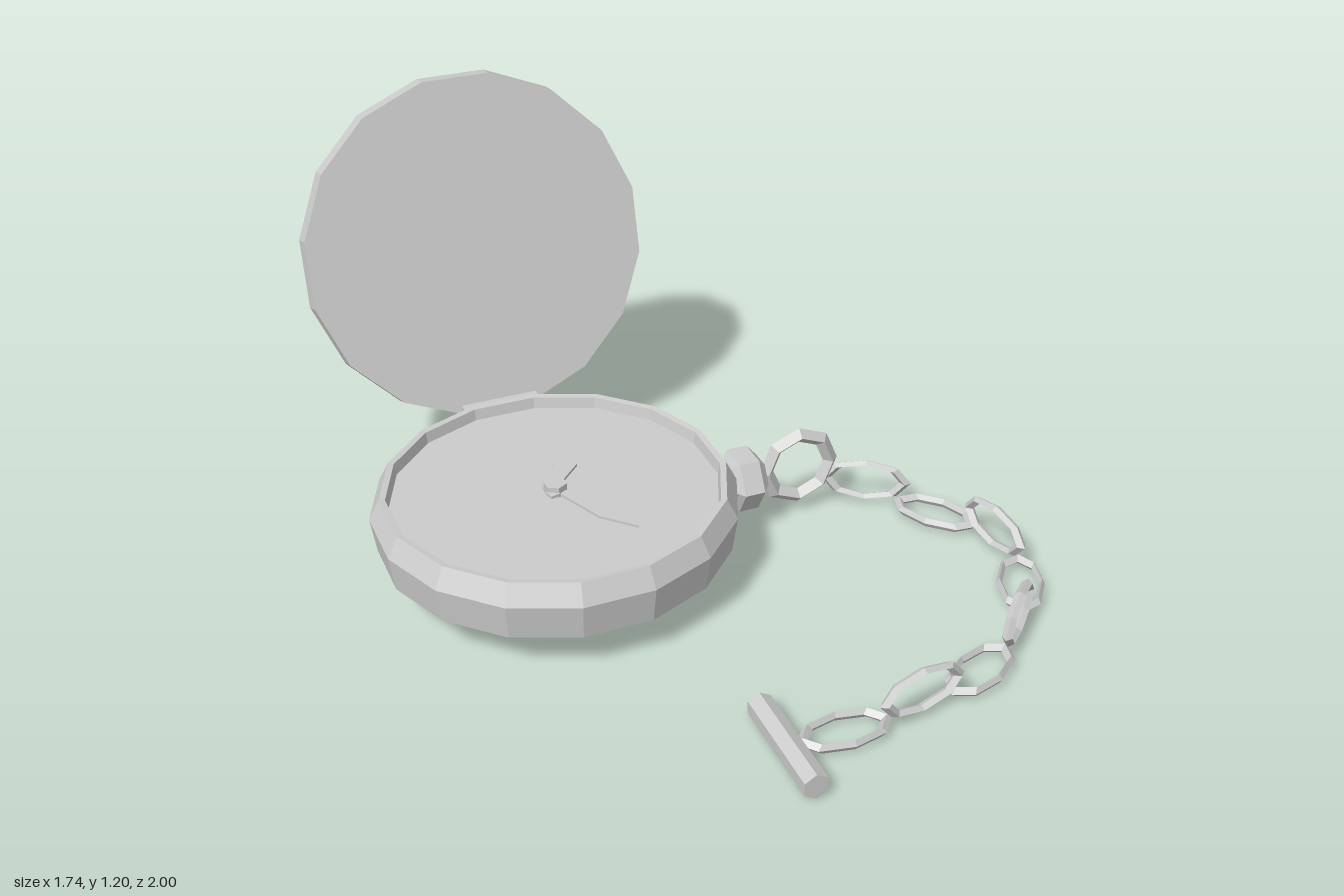
import * as THREE from 'three';

const SIDES = 16;
const K = 1 / Math.cos(Math.PI / SIDES); // flat-to-flat radius -> corner radius

export function createModel() {
  const model = new THREE.Group();
  model.name = 'pocketWatch';
  const silver = new THREE.MeshStandardMaterial({ color: 0xcccccc, flatShading: true });
  silver.name = 'silver';

  const add = (name, geo, parent = model, pos = [0, 0, 0]) => {
    const m = new THREE.Mesh(geo, silver);
    m.name = name;
    m.position.set(...pos);
    parent.add(m);
    return m;
  };
  const lathe = (pts, n = SIDES) =>
    new THREE.LatheGeometry(pts.map(([r, y]) => new THREE.Vector2(r * K, y)), n)
      .rotateY(Math.PI / n);
  // Flat outline extruded upward along y
  const plate = (pts, depth) =>
    new THREE.ExtrudeGeometry(new THREE.Shape(pts.map(p => new THREE.Vector2(...p))),
      { depth, bevelEnabled: false }).rotateX(-Math.PI / 2);

  // Case with raised rim and sunken dial
  const watch = new THREE.Group();
  watch.name = 'watchBody';
  watch.position.set(-0.365, 0, -0.15);
  model.add(watch);
  add('case', lathe([[0, 0.01], [0.36, 0.04], [0.49, 0.125], [0.505, 0.23],
    [0.475, 0.29], [0.458, 0.288], [0.452, 0.255]]), watch);
  add('dial', lathe([[0.455, 0.255], [0, 0.255]]), watch);

  // Hands and centre pin
  const hand = (name, length, width, dx, dz, y) => {
    const h = add(name, plate([[-0.05, 0], [-0.03, -0.02], [0.03, -0.012],
      [length * 0.62, -width], [length, 0], [length * 0.62, width],
      [0.03, 0.012], [-0.03, 0.02]], 0.008), watch, [0, y, 0]);
    h.rotation.y = Math.atan2(-dz, dx);
  };
  hand('minuteHand', 0.3, 0.03, 0.15, 0.265, 0.258);
  hand('hourHand', 0.205, 0.036, 0.105, -0.175, 0.262);
  add('handPin', new THREE.CylinderGeometry(0.033, 0.033, 0.03, 6), watch, [0, 0.27, 0]);

  // Open lid, leaning back
  const lid = new THREE.Group();
  lid.name = 'lid';
  lid.position.set(-0.365, 0.72, -0.79);
  lid.rotation.x = -THREE.MathUtils.degToRad(105);
  model.add(lid);
  add('lidShell', lathe([[0, 0], [0.495, 0], [0.5, 0.052], [0.4, 0.11], [0, 0.13]]), lid);
  const star = [];
  for (let i = 0; i < 8; i++) {
    const r = i % 2 ? 0.065 : 0.21, a = i * Math.PI / 4;
    star.push([r * Math.cos(a), r * Math.sin(a)]);
  }
  add('lidStar', plate(star, 0.025), lid, [0, 0.118, 0]);

  // Hinge
  add('hinge', new THREE.CylinderGeometry(0.032, 0.032, 0.23, 6).rotateZ(Math.PI / 2),
    model, [-0.365, 0.25, -0.645]);

  // Crown on the side of the case
  const crown = new THREE.LatheGeometry([[0, 0], [0.07, 0], [0.07, 0.04], [0.092, 0.055],
    [0.092, 0.115], [0.06, 0.14], [0, 0.14]].map(p => new THREE.Vector2(...p)), 6)
    .rotateZ(-Math.PI / 2);
  add('crown', crown, model, [0.12, 0.155, -0.15]);

  // Bow ring
  add('bowRing', new THREE.TorusGeometry(0.103, 0.023, 4, 8), model, [0.382, 0.158, -0.15]);

  // Chain links, alternately upright and lying flat: x, z, direction dx, dz
  const links = [
    [0.58, -0.1, 0.22, 0.14], [0.73, 0.06, 0.15, 0.22], [0.81, 0.26, 0.04, 0.28],
    [0.78, 0.46, -0.12, 0.24], [0.66, 0.64, -0.2, 0.2], [0.485, 0.75, -0.25, 0.13],
    [0.27, 0.825, -0.28, 0.05], [0.05, 0.83, -0.27, 0],
  ];
  const linkGeo = new THREE.TorusGeometry(0.118, 0.017, 4, 8).scale(1, 0.5, 0.85);
  const flatGeo = linkGeo.clone().rotateX(-Math.PI / 2);
  links.forEach(([x, z, dx, dz], i) => {
    const flat = i % 2 === 1;
    const l = add('chainLink', flat ? flatGeo : linkGeo, model, [x, flat ? 0.03 : 0.088, z]);
    l.rotation.y = Math.atan2(-dz, dx);
  });

  // Toggle bar at the end of the chain
  add('toggleBar', new THREE.CylinderGeometry(0.037, 0.037, 0.335, 6).rotateX(Math.PI / 2),
    model, [-0.11, 0.04, 0.832]);

  return model;
}
